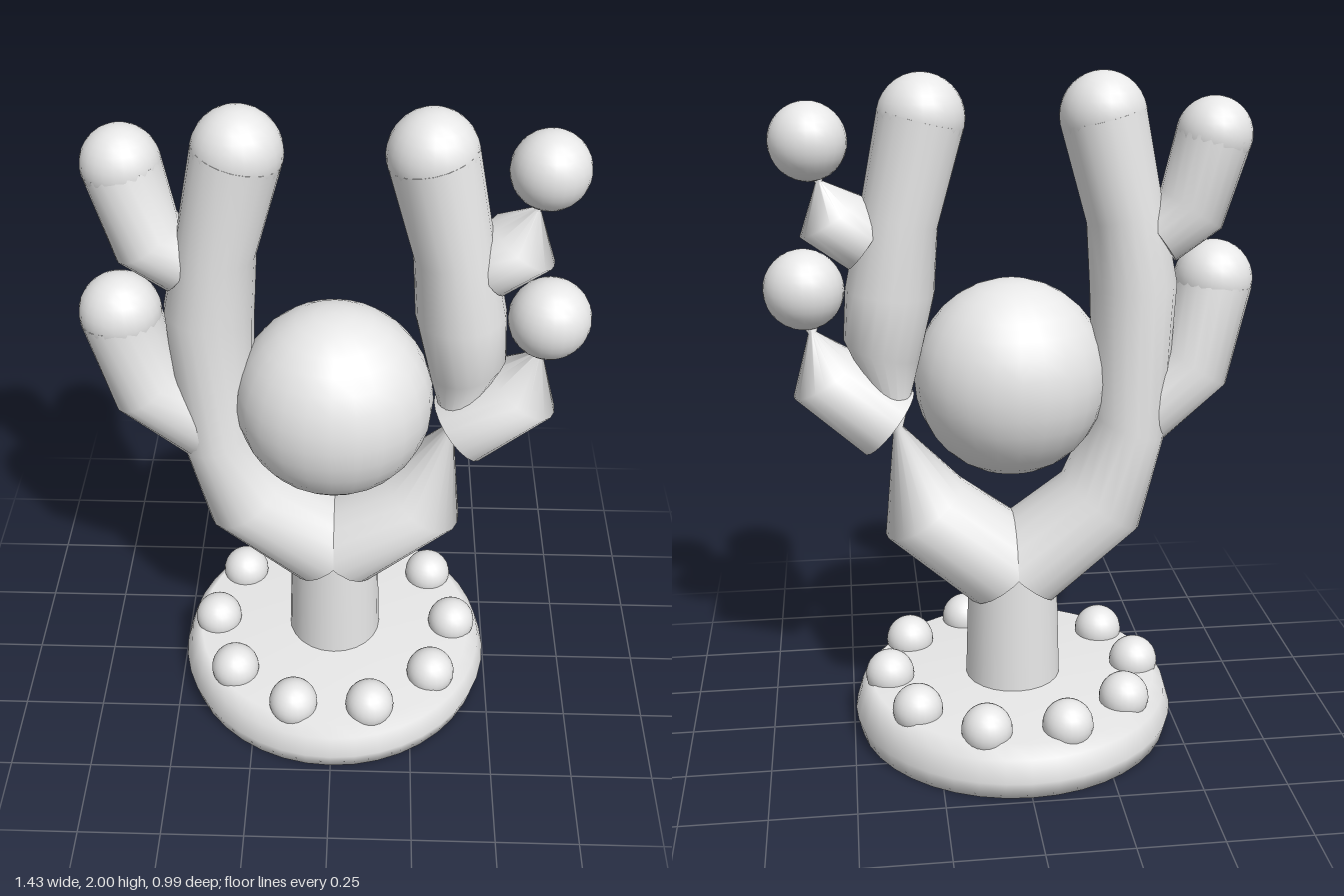
import * as THREE from 'three';
import { toCreasedNormals } from 'three/addons/utils/BufferGeometryUtils.js';

const grey = new THREE.MeshStandardMaterial({ color: 0xe7e7e7 });
grey.name = 'pale grey';

const SIDES = 20;

// Lofted limb. Each ring is [outerX, outerY, innerX, innerY, depthRadius, z];
// side is +1 or -1 and mirrors the limb in x.
function limb(name, side, rings) {
  const flat = (r) => {
    const x = (r[0] + r[2]) / 2, y = (r[1] + r[3]) / 2;
    return [x, y, x, y, 0, r[5]];
  };
  const all = [flat(rings[0]), ...rings, flat(rings[rings.length - 1])];
  const pos = [], index = [];
  all.forEach(([ax, ay, bx, by, rz, z], i) => {
    for (let j = 0; j < SIDES; j++) {
      const t = (j / SIDES) * Math.PI * 2, c = Math.cos(t) / 2;
      pos.push(side * ((ax + bx) / 2 + c * (ax - bx)), (ay + by) / 2 + c * (ay - by), z + rz * Math.sin(t));
      if (i === all.length - 1) continue;
      const a = i * SIDES + j, b = i * SIDES + ((j + 1) % SIDES), d = a + SIDES, e = b + SIDES;
      if (side > 0) index.push(a, d, b, b, d, e);
      else index.push(a, b, d, b, e, d);
    }
  });
  const geo = new THREE.BufferGeometry();
  geo.setAttribute('position', new THREE.Float32BufferAttribute(pos, 3));
  geo.setIndex(index);
  const mesh = new THREE.Mesh(toCreasedNormals(geo, 1.3), grey);
  mesh.name = name;
  return mesh;
}

function ball(name, r, x, y, z) {
  const mesh = new THREE.Mesh(new THREE.SphereGeometry(r, 24, 16), grey);
  mesh.name = name;
  mesh.position.set(x, y, z);
  return mesh;
}

export function createModel() {
  const model = new THREE.Group();
  model.name = 'branchingStand';

  // Round base with a softly shaded rim
  const profile = [[0, 0], [0.48, 0], [0.494, 0.055], [0.475, 0.12], [0.44, 0.155], [0, 0.16]];
  const base = new THREE.Mesh(
    new THREE.LatheGeometry(profile.map(([x, y]) => new THREE.Vector2(x, y)), 40), grey);
  base.name = 'base';
  model.add(base);

  // Ring of ten studs on the base
  for (let i = 0; i < 10; i++) {
    const a = (i / 10) * Math.PI * 2;
    model.add(ball('baseStud', 0.075, 0.385 * Math.cos(a), 0.167, 0.385 * Math.sin(a)));
  }

  // Stem
  const stem = new THREE.Mesh(new THREE.CylinderGeometry(0.135, 0.147, 0.4, 24), grey);
  stem.name = 'stem';
  stem.position.y = 0.34;
  model.add(stem);

  // Cradled sphere, slightly flattened front to back
  const orb = ball('centreSphere', 1, 0, 1.11, 0.04);
  orb.scale.set(0.287, 0.295, 0.267);
  model.add(orb);

  // Main arms: the same root and top, with a pinched neck on the left one
  const root = [[0.13, 0.415, -0.1, 0.62, 0.16, 0], [0.385, 0.64, 0.15, 0.8, 0.16, 0]];
  const top = [
    [0.48, 1.4, 0.225, 1.38, 0.135, 0],
    [0.43, 1.63, 0.213, 1.57, 0.13, 0],
    [0.375, 1.905, 0.135, 1.845, 0.125, 0],
  ];
  model.add(limb('rightArm', -1, [...root, [0.455, 0.93, 0.24, 1.0, 0.145, 0], ...top]));
  model.add(limb('leftArm', 1, [
    ...root, [0.355, 0.96, 0.325, 0.98, 0.022, 0], [0.49, 1.25, 0.27, 1.19, 0.13, 0], ...top,
  ]));

  // Fingers: two on each arm; those on the left pinch below their tips
  const lower = [[0.44, 0.9, 0.29, 1.08, 0.12, 0.01], [0.64, 1.08, 0.45, 1.2, 0.13, 0.015]];
  const upper = [[0.47, 1.46, 0.36, 1.61, 0.1, -0.01], [0.6, 1.555, 0.425, 1.665, 0.12, -0.015]];
  model.add(limb('rightLowerFinger', -1, [...lower, [0.712, 1.37, 0.485, 1.41, 0.115, 0.03]]));
  model.add(limb('rightUpperFinger', -1, [...upper, [0.674, 1.8, 0.46, 1.84, 0.108, -0.03]]));
  model.add(limb('leftLowerFinger', 1, [
    ...lower, [0.59, 1.265, 0.565, 1.27, 0.016, 0.02], [0.66, 1.38, 0.53, 1.4, 0.06, 0.03],
  ]));
  model.add(limb('leftUpperFinger', 1, [
    ...upper, [0.55, 1.705, 0.53, 1.71, 0.016, -0.02], [0.62, 1.8, 0.51, 1.82, 0.05, -0.03],
  ]));

  // Rounded tips
  for (const s of [-1, 1]) {
    model.add(ball('armTip', 0.124, s * 0.255, 1.875, 0));
    model.add(ball('lowerFingerTip', 0.116, s * 0.597, 1.393, 0.03));
    model.add(ball('upperFingerTip', 0.109, s * 0.567, 1.82, -0.03));
  }
  return model;
}
